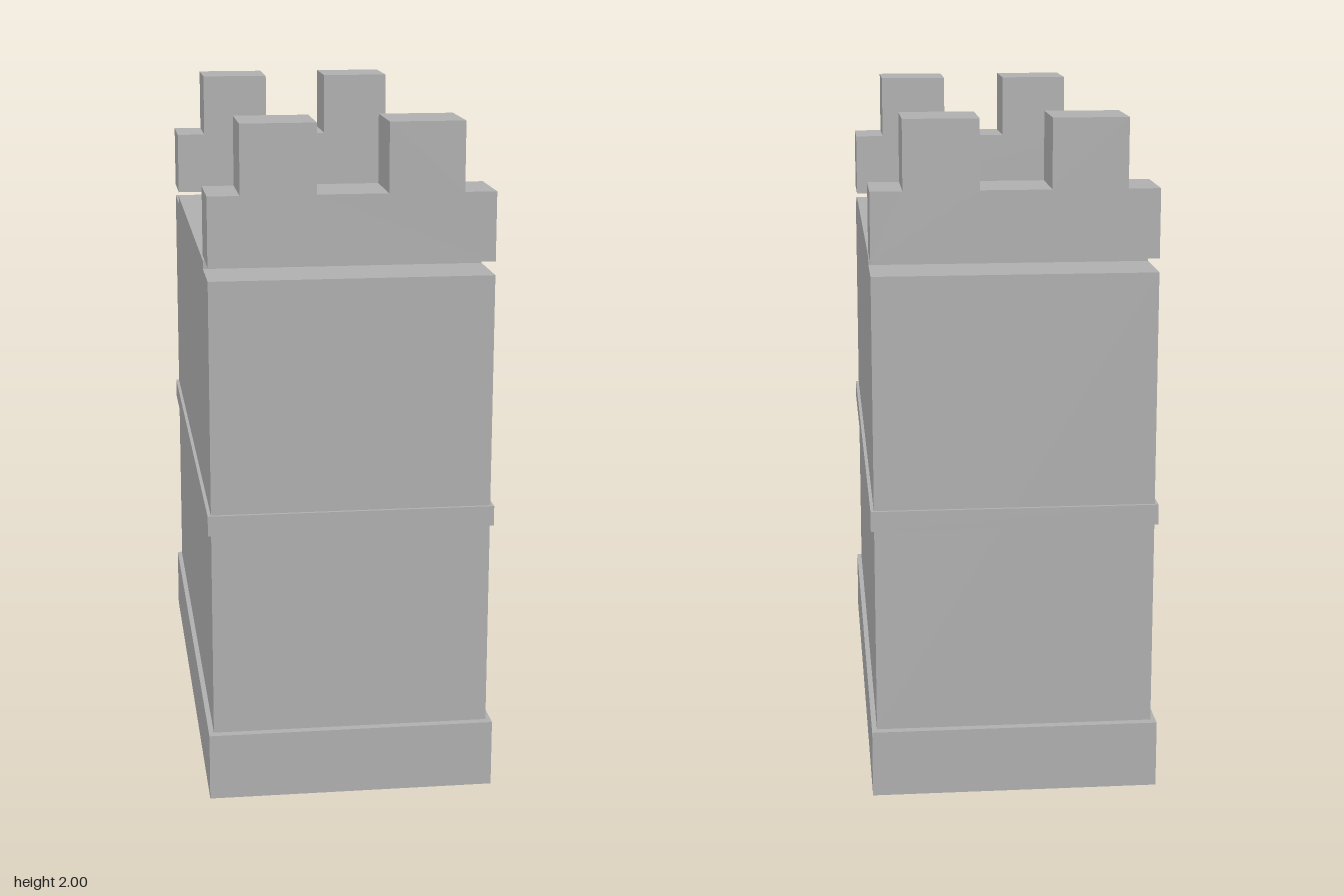
import * as THREE from 'three';

const stone = new THREE.MeshStandardMaterial({ color: 0xb2b2b2 });
stone.name = 'stone grey';

// Extrudes a left-right symmetric outline, given by its right half from bottom to top
function extrudeMirrored(half, depth) {
  const left = half.map(([x, y]) => [-x, y]).reverse();
  const shape = new THREE.Shape([...half, ...left].map(([x, y]) => new THREE.Vector2(x, y)));
  return new THREE.ExtrudeGeometry(shape, { depth, bevelEnabled: false }).translate(0, 0, -depth / 2);
}

export function createModel() {
  const group = new THREE.Group();
  group.name = 'wallTower';

  const add = (name, geometry, y = 0, z = 0) => {
    const mesh = new THREE.Mesh(geometry, stone);
    mesh.name = name;
    mesh.position.set(0, y, z);
    group.add(mesh);
  };

  // Plinth and the narrow band around the middle
  add('plinth', new THREE.BoxGeometry(0.85, 0.2, 1.7), 0.1);
  add('stringCourse', new THREE.BoxGeometry(0.84, 0.06, 1.67), 0.845);

  // Main body, with a shallow step under each parapet
  const body = extrudeMirrored([[0.825, 0.2], [0.825, 1.56], [0.628, 1.56], [0.628, 1.585]], 0.82);
  add('body', body.rotateY(Math.PI / 2));

  // Crenellated parapets, raised slightly above the steps
  const parapet = extrudeMirrored(
    [[0.41, 1.6], [0.41, 1.8], [0.318, 1.8], [0.318, 2], [0.102, 2], [0.102, 1.8]], 0.203);
  add('frontParapet', parapet, 0, 0.7235);
  add('backParapet', parapet, 0, -0.7235);

  return group;
}
